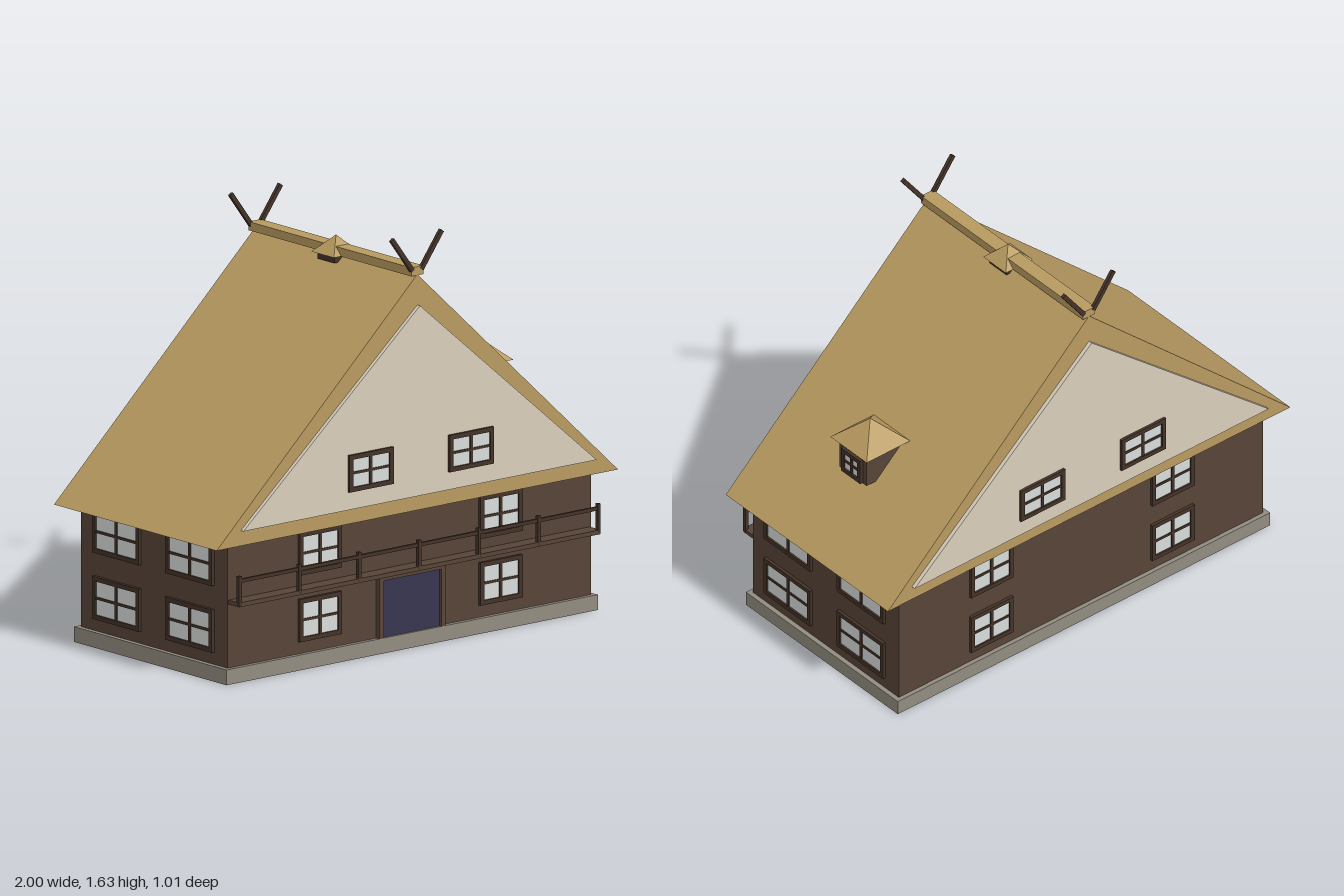
import * as THREE from 'three';

const mat = (name, color) => Object.assign(new THREE.MeshStandardMaterial({ color }), { name });

export function createModel() {
  const thatch = mat('thatch', 0xb89a60);
  const plaster = mat('plaster', 0xd9cebb);
  const timber = mat('wall timber', 0x574437);
  const dark = mat('dark timber', 0x443328);
  const glass = mat('window glass', 0xd8dcda);
  const stone = mat('stone', 0x928c80);
  const doorBlue = mat('door blue', 0x383650);

  const house = new THREE.Group();
  house.name = 'house';

  const add = (parent, name, geometry, material, x = 0, y = 0, z = 0) => {
    const mesh = new THREE.Mesh(geometry, material);
    mesh.name = name;
    mesh.position.set(x, y, z);
    parent.add(mesh);
    return mesh;
  };
  // Box given by its lower and upper corner
  const box = (parent, name, material, x0, y0, z0, x1, y1, z1) =>
    add(parent, name, new THREE.BoxGeometry(x1 - x0, y1 - y0, z1 - z0), material,
      (x0 + x1) / 2, (y0 + y1) / 2, (z0 + z1) / 2);

  // Triangular prism running along z
  const prism = (name, material, half, y0, y1, halfDepth) => {
    const shape = new THREE.Shape([
      new THREE.Vector2(-half, y0), new THREE.Vector2(half, y0), new THREE.Vector2(0, y1),
    ]);
    const geometry = new THREE.ExtrudeGeometry(shape, { depth: halfDepth * 2, bevelEnabled: false });
    return add(house, name, geometry, material, 0, 0, -halfDepth);
  };

  // Four-sided pointed roof with flat faces
  const pyramid = (parent, name, half, x, y0, y1) => {
    const geometry = new THREE.ConeGeometry(half * Math.SQRT2, y1 - y0, 4).toNonIndexed();
    geometry.rotateY(Math.PI / 4);
    geometry.computeVertexNormals();
    return add(parent, name, geometry, thatch, x, (y0 + y1) / 2, 0);
  };

  // Four-pane window facing local +z, its back on z = 0
  const addWindow = (name, w, h, x, y, z, turn) => {
    const win = new THREE.Group();
    win.name = name;
    const b = 0.018, d = 0.013;
    for (const s of [-1, 1]) {
      add(win, 'frameSide', new THREE.BoxGeometry(b, h, d), dark, s * (w - b) / 2, 0, d / 2);
      add(win, 'frameRail', new THREE.BoxGeometry(w - 2 * b, b, d), dark, 0, s * (h - b) / 2, d / 2);
    }
    add(win, 'pane', new THREE.BoxGeometry(w - 2 * b, h - 2 * b, 0.006), glass, 0, 0, 0.003);
    add(win, 'mullion', new THREE.BoxGeometry(0.013, h - 2 * b, 0.01), dark, 0, 0, 0.005);
    add(win, 'crossbar', new THREE.BoxGeometry(w - 2 * b, 0.01, 0.01), dark, 0, 0, 0.005);
    win.position.set(x, y, z);
    win.rotation.y = turn;
    house.add(win);
  };

  // Body and roof
  box(house, 'foundation', stone, -0.925, 0, -0.45, 0.925, 0.06, 0.45);
  box(house, 'walls', timber, -0.905, 0.06, -0.432, 0.905, 0.546, 0.432);
  prism('roof', thatch, 1, 0.545, 1.47, 0.48);
  prism('gables', plaster, 0.88, 0.605, 1.35, 0.496);
  box(house, 'ridgeCap', thatch, -0.03, 1.466, -0.48, 0.03, 1.5, 0.48);

  // Windows on all four walls and both gables
  for (const s of [-1, 1]) {
    const endTurn = s > 0 ? 0 : Math.PI;
    for (const t of [-1, 1]) {
      for (const y of [0.192, 0.453]) {
        addWindow('wallWindow', 0.21, 0.168, t * 0.45, y, s * 0.432, endTurn);
        addWindow('sideWindow', 0.275, 0.168, s * 0.905, y, t * 0.216, s * Math.PI / 2);
      }
      addWindow('gableWindow', 0.22, 0.145, t * 0.25, 0.748, s * 0.494, endTurn);
    }
  }

  // Door and its frame
  box(house, 'door', doorBlue, -0.143, 0.06, 0.43, 0.143, 0.285, 0.441);
  for (const s of [-1, 1]) add(house, 'doorPost', new THREE.BoxGeometry(0.022, 0.25, 0.022), timber, s * 0.154, 0.185, 0.441);
  box(house, 'doorLintel', timber, -0.143, 0.285, 0.43, 0.143, 0.31, 0.452);

  // Balcony across the front
  const balcony = new THREE.Group();
  balcony.name = 'balcony';
  house.add(balcony);
  box(balcony, 'balconyFloor', timber, -0.9, 0.31, 0.43, 0.9, 0.327, 0.495);
  box(balcony, 'handrail', dark, -0.9, 0.404, 0.481, 0.9, 0.418, 0.493);
  for (let i = -3; i <= 3; i++) {
    const x = i * 0.298;
    box(balcony, 'balconyPost', dark, x - 0.007, 0.315, 0.48, x + 0.007, 0.43, 0.495);
  }

  // Dormer on the left slope
  const dormer = new THREE.Group();
  dormer.name = 'dormer';
  house.add(dormer);
  box(dormer, 'dormerBody', timber, 0.6, 0.8, -0.08, 0.77, 0.94, 0.08);
  pyramid(dormer, 'dormerRoof', 0.108, 0.685, 0.938, 1.036);
  addWindow('dormerWindow', 0.115, 0.108, 0.77, 0.856, 0, Math.PI / 2);

  // Smoke vent on the ridge
  box(house, 'ventBody', dark, -0.05, 1.44, -0.05, 0.05, 1.468, 0.05);
  pyramid(house, 'ventRoof', 0.067, 0, 1.467, 1.535);

  // Crossed gable poles at both ends of the ridge
  for (const z of [-0.475, 0.475]) {
    for (const s of [-1, 1]) {
      const pole = add(house, 'gablePole', new THREE.BoxGeometry(0.018, 0.17, 0.014), dark, s * 0.073, 1.555, z);
      pole.rotation.z = -s * 0.64;
    }
  }
  return house;
}
